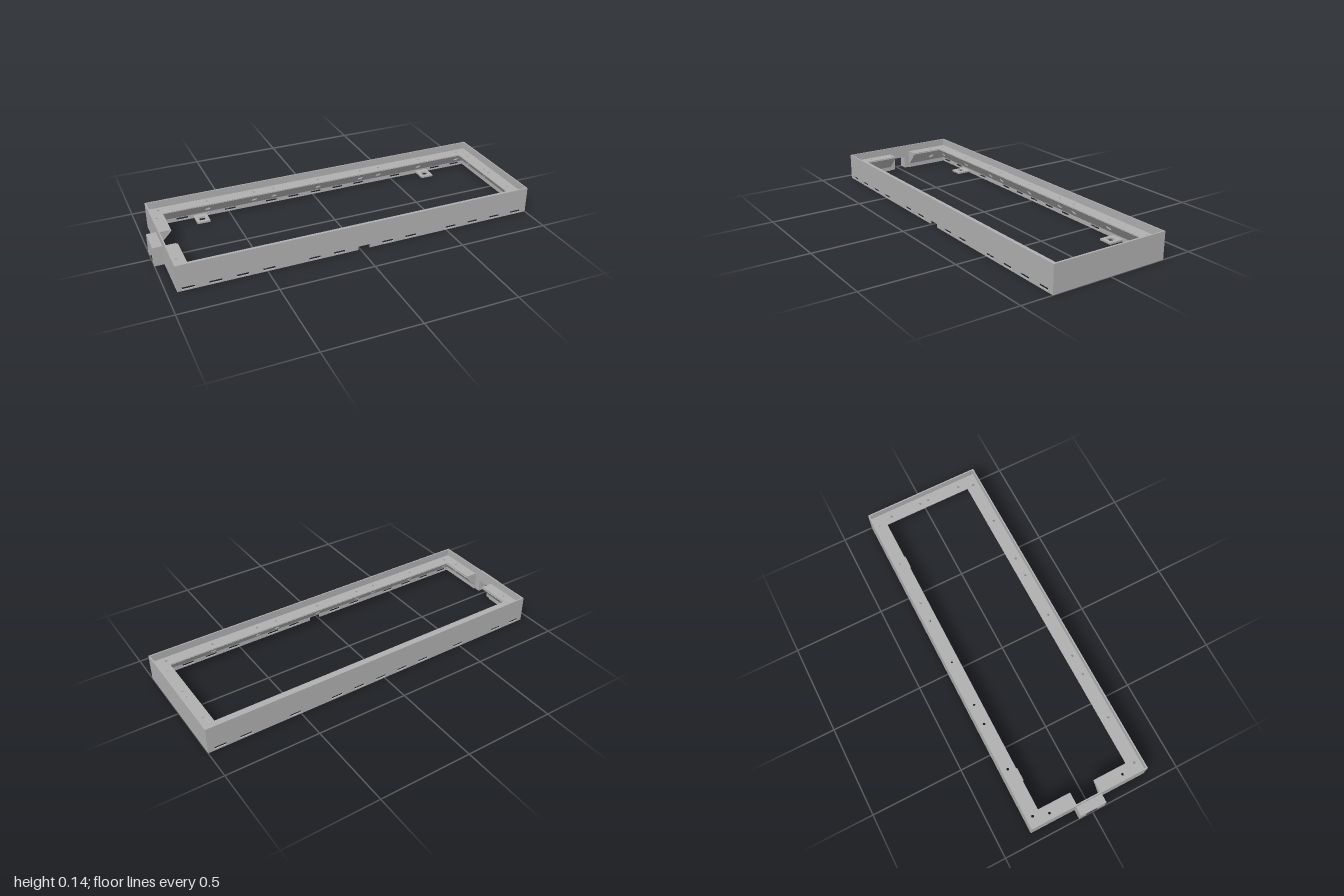
import * as THREE from 'three';

const X0 = -0.95, X1 = 1, ZH = 0.33, H = 0.145, T = 0.007; // outer frame
const IX0 = -0.88, IX1 = 0.92, IZ = 0.253;                 // flange opening
const FY = 0.1, SY = 0.024;                                // flange and slope heights
const GAP0 = -0.07, GAP1 = 0.065;                          // opening in the right end

const polygon = (pts) => new THREE.Shape(pts.map(([x, y]) => new THREE.Vector2(x, y)));
const rect = (x0, y0, x1, y1) => polygon([[x0, y0], [x1, y0], [x1, y1], [x0, y1]]);
const addRound = (shape, x, y, r) =>
  shape.holes.push(new THREE.Path().absarc(x, y, r, 0, Math.PI * 2, true));

export function createModel() {
  const model = new THREE.Group();
  model.name = 'channelFrame';
  const grey = new THREE.MeshStandardMaterial({ color: 0xb0b0b0, side: THREE.DoubleSide });
  grey.name = 'sheet metal grey';
  const X = new THREE.Vector3(1, 0, 0), Y = new THREE.Vector3(0, 1, 0), Z = new THREE.Vector3(0, 0, 1);

  // Sheet drawn in axes u, v and thickened along u x v
  function sheet(name, shape, depth, origin, u, v) {
    const geo = new THREE.ExtrudeGeometry(shape, { depth, bevelEnabled: false, curveSegments: 6 });
    const w = new THREE.Vector3().crossVectors(u, v);
    geo.applyMatrix4(new THREE.Matrix4().makeBasis(u, v, w).setPosition(...origin));
    const mesh = new THREE.Mesh(geo, grey);
    mesh.name = name;
    model.add(mesh);
  }
  const negZ = Z.clone().negate(), negX = X.clone().negate();

  // Long walls with drain slots
  const slots = [-0.895, -0.76, -0.625, -0.49, -0.25, -0.115, 0.02, 0.155, 0.29, 0.53, 0.665, 0.8, 0.935];
  const addSlots = (shape, list) => list.forEach((x) =>
    shape.holes.push(rect(x - 0.032, 0.007, x + 0.032, 0.02)));
  const front = polygon([[X0, 0], [-0.012, 0], [-0.012, 0.02], [0.052, 0.02], [0.052, 0], [X1, 0], [X1, H], [X0, H]]);
  addSlots(front, slots.filter((x) => x !== 0.02));
  sheet('frontWall', front, T, [0, 0, ZH - T], X, Y);
  const back = rect(X0, 0, X1, H);
  addSlots(back, slots.filter((x) => x !== -0.625 && x !== 0.665));
  sheet('backWall', back, T, [0, 0, -ZH], X, Y);

  // End walls, the right one with an opening behind the spout
  const e = ZH - T;
  sheet('leftEndWall', rect(-e, 0, e, H), T, [X1 - T, 0, 0], negZ, Y);
  sheet('rightEndWall', polygon([[-e, 0], [-GAP1, 0], [-GAP1, FY], [-GAP0, FY], [-GAP0, 0], [e, 0], [e, H], [-e, H]]),
    T, [X0, 0, 0], negZ, Y);

  // Flat inner flange, C-shaped, with screw holes (drawn with v = -z)
  const longHoles = [-0.89, -0.625, -0.36, -0.245, 0.02, 0.285, 0.4, 0.665, 0.925];
  const flange = polygon([
    [X0, -GAP1], [X0, -e], [X1 - T, -e], [X1 - T, e], [X0, e], [X0, -GAP0],
    [IX0, -GAP0], [IX0, IZ], [IX1, IZ], [IX1, -IZ], [IX0, -IZ], [IX0, -GAP1]]);
  for (const s of [-1, 1]) {
    longHoles.forEach((x) => addRound(flange, x, s * 0.292, 0.007));
    addRound(flange, -0.915, s * 0.21, 0.007);
    addRound(flange, 0.955, s * 0.21, 0.007);
  }
  addRound(flange, 0.955, 0.03, 0.007);
  addRound(flange, 0.955, -0.02, 0.007);
  sheet('flange', flange, 0.005, [0, FY, 0], X, negZ);

  // Sloped sheets from the foot of each wall up to the flange edge, with access holes
  const run = 0.071, rise = FY - SY, slope = Math.hypot(run, rise);
  function slopeSheet(name, inward, origin, b0, b1, t0, t1, holes) {
    const u = new THREE.Vector3().crossVectors(inward, Y);
    const v = inward.clone().multiplyScalar(run).addScaledVector(Y, rise).normalize();
    const sign = u.x + u.z; // shape runs along -axis when negative
    const pts = [[b0, 0], [b1, 0], [t1, slope], [t0, slope]].map(([a, b]) => [a * sign, b]);
    const shape = polygon(pts);
    holes.forEach((h) => addRound(shape, h * sign, slope * 0.46, 0.016));
    sheet(name, shape, 0.003, origin, u, v);
  }
  slopeSheet('frontSlope', negZ, [0, SY, e], X0 + T, X1 - T, IX0, IX1, longHoles);
  slopeSheet('backSlope', Z, [0, SY, -e], X0 + T, X1 - T, IX0, IX1, longHoles);
  slopeSheet('leftSlope', negX, [X1 - T, SY, 0], -e, e, -IZ, IZ, [-0.21, -0.025, 0.21]);
  slopeSheet('rightSlopeFront', X, [X0 + T, SY, 0], GAP1, e, GAP1, IZ, [0.21]);
  slopeSheet('rightSlopeBack', X, [X0 + T, SY, 0], -e, GAP0, -IZ, GAP0, [-0.21]);

  // Triangular caps closing the channel beside the opening
  for (const z of [GAP1, GAP0 - 0.003]) {
    sheet('channelEndCap', polygon([[X0 + T, SY], [IX0, FY], [X0 + T, FY]]), 0.003, [0, 0, z], X, Y);
  }

  // Spout: upside-down U on the outside of the right end
  sheet('spout', polygon([[-0.068, 0], [-0.03, 0], [-0.03, 0.07], [0.04, 0.07], [0.04, 0],
    [0.078, 0], [0.078, 0.105], [-0.068, 0.105]]), 0.05, [-1, 0, 0], negZ, Y);

  // Pierced mounting tabs at the foot of the back wall
  for (const x of [-0.663, 0.702]) {
    const tab = rect(-0.036, 0.238, 0.036, e);
    tab.holes.push(rect(-0.017, 0.258, 0.017, 0.292));
    sheet('mountingTab', tab, 0.01, [x, 0.006, 0], X, negZ);
  }
  return model;
}
